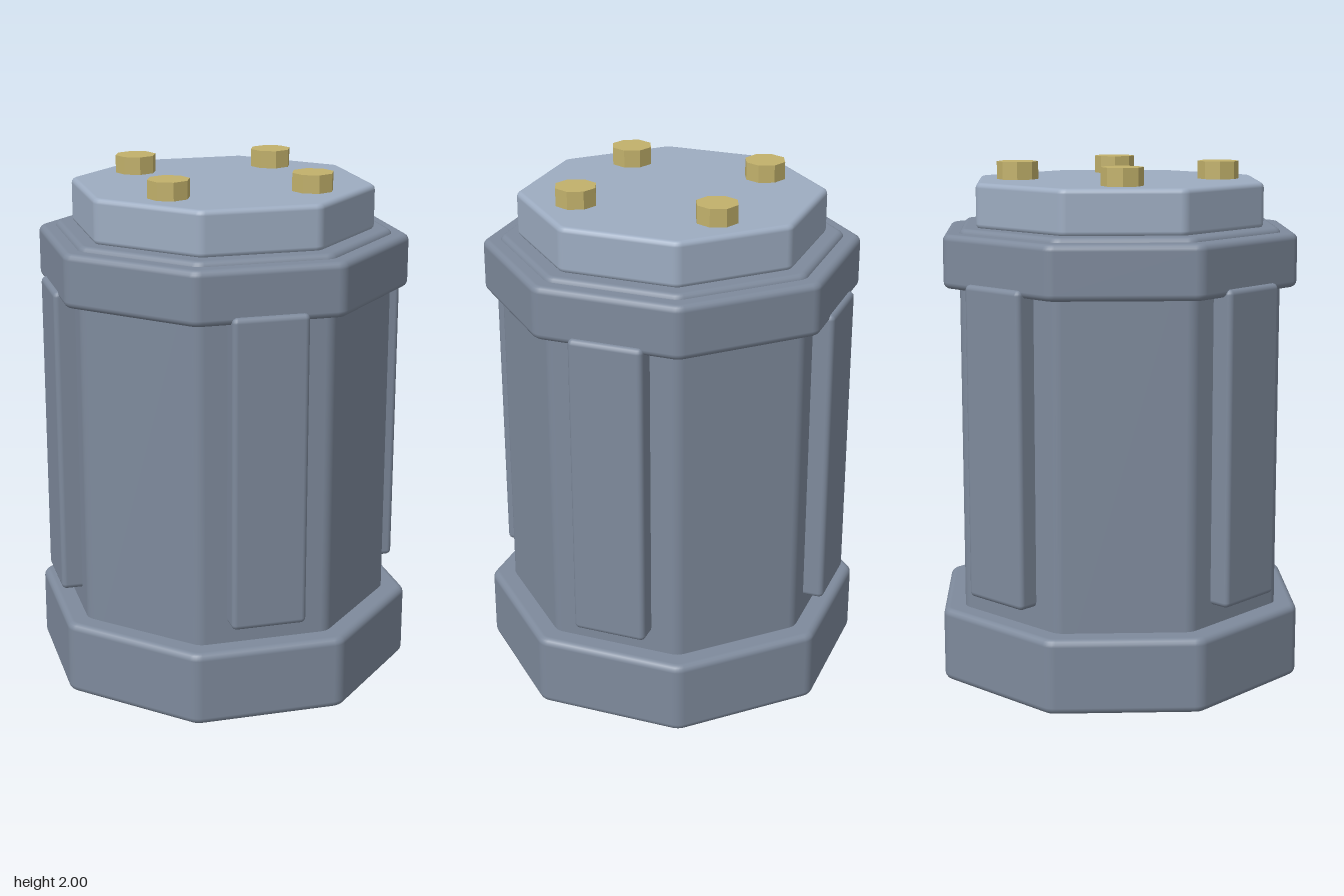
import * as THREE from 'three';

const material = (name, color) => {
  const m = new THREE.MeshStandardMaterial({ color });
  m.name = name;
  return m;
};

// Prism with rounded edges. corners: [x, z] of the core outline, ordered from +z towards +x.
// R rounds the upright edges, r rounds the top and bottom rims.
function roundedPrism(corners, y0, y1, R, r, steps = 4) {
  const pos = [], nor = [], idx = [];
  const n = corners.length, ring = n * (steps + 1), sweep = (Math.PI * 2) / n;
  const rows = [];
  for (let k = 0; k <= steps; k++) rows.push([-Math.PI / 2 * (1 - k / steps), y0 + r]);
  for (let k = 0; k <= steps; k++) rows.push([Math.PI / 2 * k / steps, y1 - r]);

  for (const [phi, y] of rows) {
    const c = Math.cos(phi), s = Math.sin(phi), reach = R - r + r * c;
    corners.forEach(([x, z], i) => {
      for (let k = 0; k <= steps; k++) {
        const a = sweep * (i + k / steps), sx = Math.sin(a), cz = Math.cos(a);
        pos.push(x + sx * reach, y + r * s, z + cz * reach);
        nor.push(sx * c, s, cz * c);
      }
    });
  }
  for (let j = 0; j < rows.length - 1; j++) {
    for (let i = 0; i < ring; i++) {
      const a = j * ring + i, b = j * ring + (i + 1) % ring;
      idx.push(a, b, b + ring, a, b + ring, a + ring);
    }
  }
  // flat ends
  const top = (rows.length - 1) * ring;
  for (let i = 1; i < ring - 1; i++) {
    idx.push(0, i + 1, i, top, top + i, top + i + 1);
  }
  const g = new THREE.BufferGeometry();
  g.setAttribute('position', new THREE.Float32BufferAttribute(pos, 3));
  g.setAttribute('normal', new THREE.Float32BufferAttribute(nor, 3));
  g.setIndex(idx);
  return g;
}

// Regular octagonal block with flats facing the axes
function octagonBlock(half, y0, y1, r) {
  const R = r / Math.tan(Math.PI / 8);
  const radius = (half - R) / Math.cos(Math.PI / 8);
  const corners = Array.from({ length: 8 }, (_, i) => {
    const a = (i + 0.5) * Math.PI / 4;
    return [Math.sin(a) * radius, Math.cos(a) * radius];
  });
  return roundedPrism(corners, y0, y1, R, r);
}

// Rectangular block with rounded edges
function boxBlock(x, z0, z1, y0, y1, r) {
  const corners = [[x - r, z1 - r], [x - r, z0 + r], [-x + r, z0 + r], [-x + r, z1 - r]];
  return roundedPrism(corners, y0, y1, r, r);
}

export function createModel() {
  const group = new THREE.Group();
  group.name = 'canister';
  const steel = material('blue grey steel', 0x7e8a9c);
  const paleSteel = material('pale steel', 0x9dacc1);
  const brass = material('brass', 0xc2b16b);

  const add = (name, geometry, mat) => {
    const mesh = new THREE.Mesh(geometry, mat);
    mesh.name = name;
    group.add(mesh);
    return mesh;
  };

  // Stacked octagonal blocks
  add('base', octagonBlock(0.69, 0, 0.29, 0.027), steel);
  add('body', octagonBlock(0.607, 0.1, 1.763, 0.025), steel);
  add('collar', octagonBlock(0.667, 1.54, 1.745, 0.025), steel);
  add('lid', octagonBlock(0.543, 1.758, 1.932, 0.02), paleSteel);

  // Raised panel on each main side
  const panel = boxBlock(0.144, 0.56, 0.686, 0.37, 1.57, 0.02);
  ['front', 'left', 'back', 'right'].forEach((side, i) => {
    add(side + 'Panel', panel, steel).rotation.y = i * Math.PI / 2;
  });

  // Eight-sided bolts on the lid
  const bolt = new THREE.CylinderGeometry(0.08, 0.08, 0.09, 8).toNonIndexed();
  bolt.computeVertexNormals();
  for (const x of [-0.275, 0.275]) {
    for (const z of [-0.275, 0.275]) add('bolt', bolt, brass).position.set(x, 1.955, z);
  }
  return group;
}
